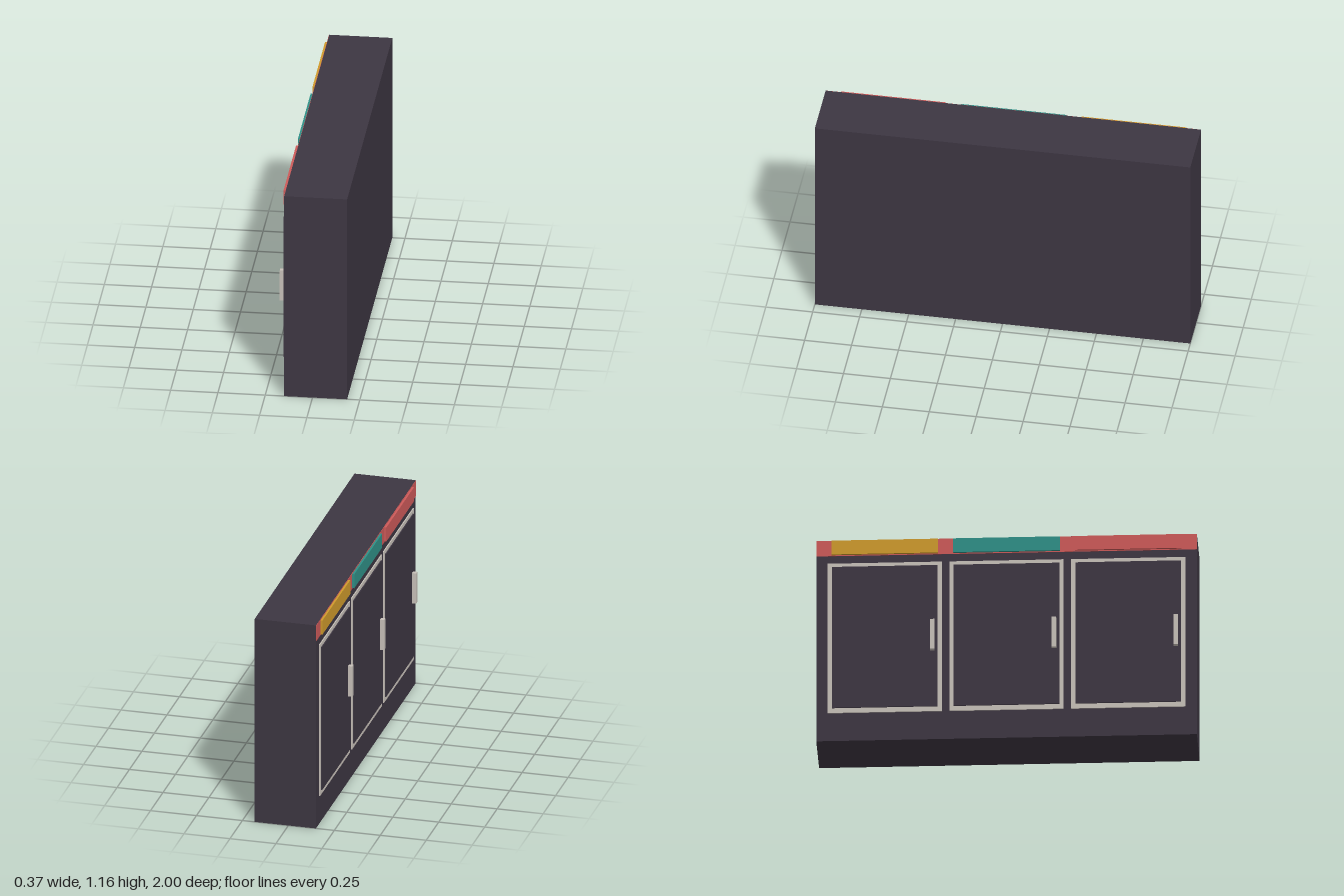
import * as THREE from 'three';

const mat = (name, color) => {
  const m = new THREE.MeshStandardMaterial({ color });
  m.name = name;
  return m;
};

export function createModel() {
  const charcoal = mat('charcoal', 0x3d3642);
  const red = mat('red', 0xcd5a59);
  const teal = mat('teal', 0x2f9087);
  const amber = mat('amber', 0xcf9a2c);
  const stone = mat('warm grey', 0xc8c1b9);

  const model = new THREE.Group();
  model.name = 'cabinet';

  // Box given by its extents along each axis
  const addBox = (parent, name, material, [x0, x1], [y0, y1], [z0, z1]) => {
    const mesh = new THREE.Mesh(new THREE.BoxGeometry(x1 - x0, y1 - y0, z1 - z0), material);
    mesh.position.set((x0 + x1) / 2, (y0 + y1) / 2, (z0 + z1) / 2);
    mesh.name = name;
    parent.add(mesh);
  };

  // Main body and the thin band along the top of its door side
  addBox(model, 'body', charcoal, [-0.15, 0.183], [0, 1.16], [-1, 1]);
  addBox(model, 'topBand', red, [-0.152, -0.149], [1.07, 1.159], [-1, 1]);

  // Three bays: door frame, door panel, handle and coloured header plate
  [amber, teal, red].forEach((colour, i) => {
    const bay = new THREE.Group();
    bay.name = 'bay' + (i + 1);
    bay.position.z = (i - 1) * 0.64;
    addBox(bay, 'headerPlate', colour, [-0.163, -0.15], [1.075, 1.155], [-0.28, 0.28]);
    addBox(bay, 'doorFrame', stone, [-0.156, -0.15], [0.16, 1.025], [-0.3, 0.3]);
    addBox(bay, 'doorPanel', charcoal, [-0.162, -0.15], [0.187, 1.003], [-0.278, 0.278]);
    addBox(bay, 'handle', stone, [-0.185, -0.161], [0.508, 0.681], [0.238, 0.262]);
    model.add(bay);
  });

  return model;
}
